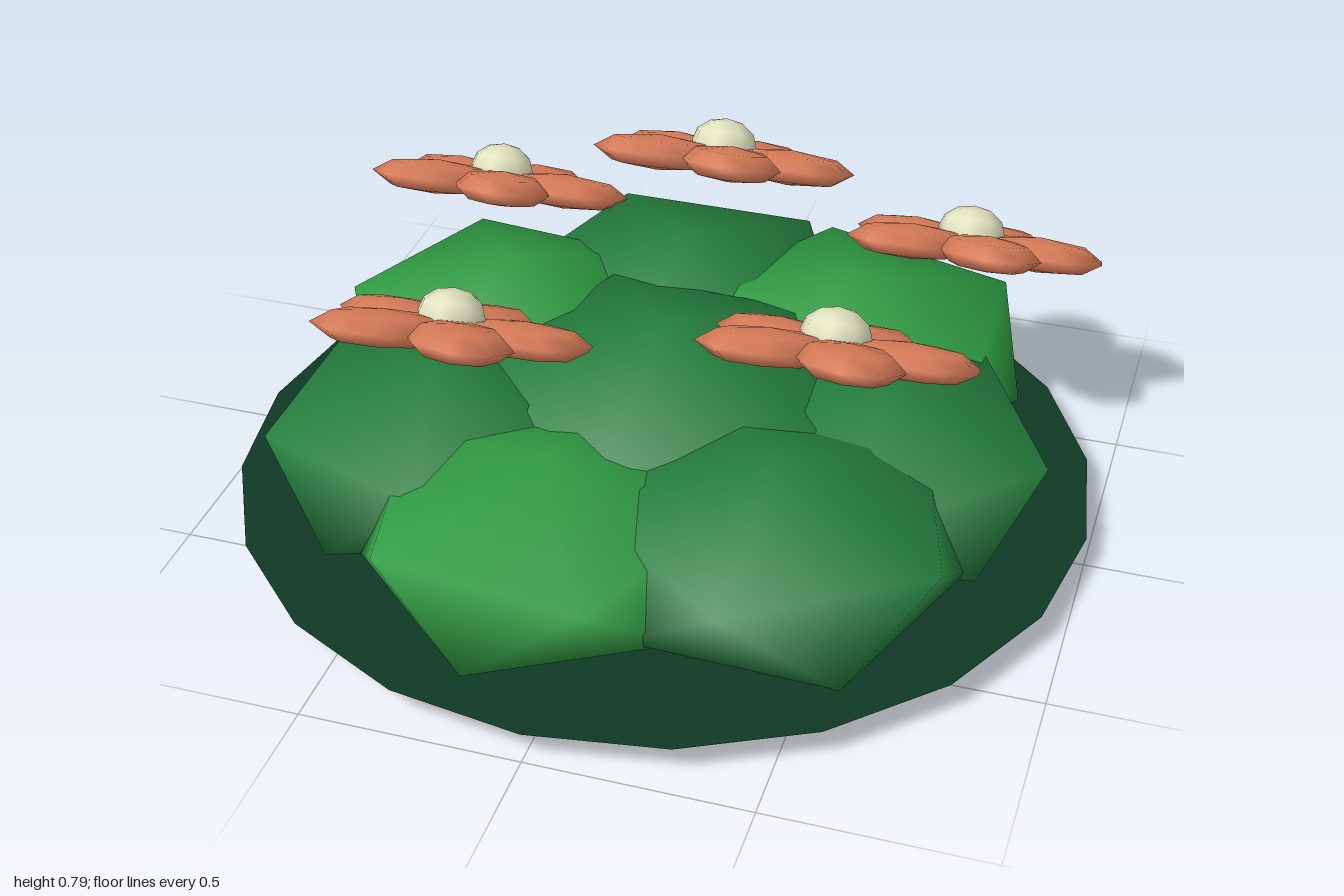
import * as THREE from 'three';
import { mergeVertices } from 'three/addons/utils/BufferGeometryUtils.js';

const DEG = Math.PI / 180;
const mat = (color) => new THREE.MeshStandardMaterial({ color });

// Smooth-shaded icosahedron with one vertex straight up
function leafBlobGeometry() {
  const raw = new THREE.IcosahedronGeometry(1, 0);
  raw.rotateZ(-Math.atan(2 / (1 + Math.sqrt(5))));
  raw.deleteAttribute('normal');
  raw.deleteAttribute('uv');
  const geo = mergeVertices(raw, 1e-4);
  geo.computeVertexNormals();
  return geo;
}

export function createModel() {
  const model = new THREE.Group();
  model.name = 'floweringBush';

  // Flat ground disc under the leaves
  const discMat = mat(0x0f3a24);
  discMat.side = THREE.DoubleSide;
  const disc = new THREE.Mesh(new THREE.CircleGeometry(1, 20).rotateX(-Math.PI / 2), discMat);
  disc.name = 'groundDisc';
  disc.position.y = 0.075;
  model.add(disc);

  // Squashed leaf clumps: one in the middle, seven around it
  const blobGeo = leafBlobGeometry();
  const darkLeaf = mat(0x267f3e);
  const lightLeaf = mat(0x2f9c43);
  // x, z, ring radius, top, bottom, spin in degrees, light
  const clumps = [
    [0, 0, 0.44, 0.46, 0.03, 20, false],
    [0.51, 0.015, 0.4, 0.4, 0.02, 8, false],
    [0.37, 0.39, 0.42, 0.42, 0.02, 20, false],
    [-0.12, 0.5, 0.415, 0.4, 0.01, 60, true],
    [-0.48, 0.24, 0.39, 0.415, 0.0, 0, false],
    [-0.48, -0.25, 0.38, 0.42, 0.02, 24, true],
    [-0.12, -0.51, 0.42, 0.4, 0.0, 18, false],
    [0.34, -0.42, 0.42, 0.41, 0.02, 34, true],
  ];
  for (const [x, z, r, top, bottom, spin, light] of clumps) {
    const clump = new THREE.Mesh(blobGeo, light ? lightLeaf : darkLeaf);
    clump.name = 'leafClump';
    clump.position.set(x, (top + bottom) / 2, z);
    clump.scale.set(r / 0.894, (top - bottom) / 2, r / 0.894);
    clump.rotation.y = -spin * DEG;
    model.add(clump);
  }

  // Petal: flattened eight-sided ellipsoid with a blunt tip
  const petalGeo = new THREE.SphereGeometry(1, 8, 4).rotateY(22.5 * DEG);
  petalGeo.scale(0.162, 0.042, 0.12).translate(0.165, 0, 0);
  const heartGeo = new THREE.SphereGeometry(1, 8, 6).scale(0.08, 0.06, 0.08);
  const petalMat = mat(0xe0815c);
  const heartMat = mat(0xe2e4c0);

  // Five-petalled flowers, all leaning towards the back
  const flowers = [
    [-0.555, 0.52, -0.42, -3],
    [0, 0.655, -0.46, -3],
    [0.6, 0.49, -0.51, -6],
    [0.44, 0.6, 0.2, -5],
    [-0.4, 0.56, 0.31, -10],
  ];
  for (const [x, y, z, spin] of flowers) {
    const flower = new THREE.Group();
    flower.name = 'flower';
    flower.position.set(x, y, z);
    flower.rotation.x = -25 * DEG;
    for (let i = 0; i < 5; i++) {
      const petal = new THREE.Mesh(petalGeo, petalMat);
      petal.name = 'petal';
      petal.rotation.y = -(spin + i * 72) * DEG;
      flower.add(petal);
    }
    const heart = new THREE.Mesh(heartGeo, heartMat);
    heart.name = 'flowerHeart';
    heart.position.y = 0.035;
    flower.add(heart);
    model.add(flower);
  }
  return model;
}
